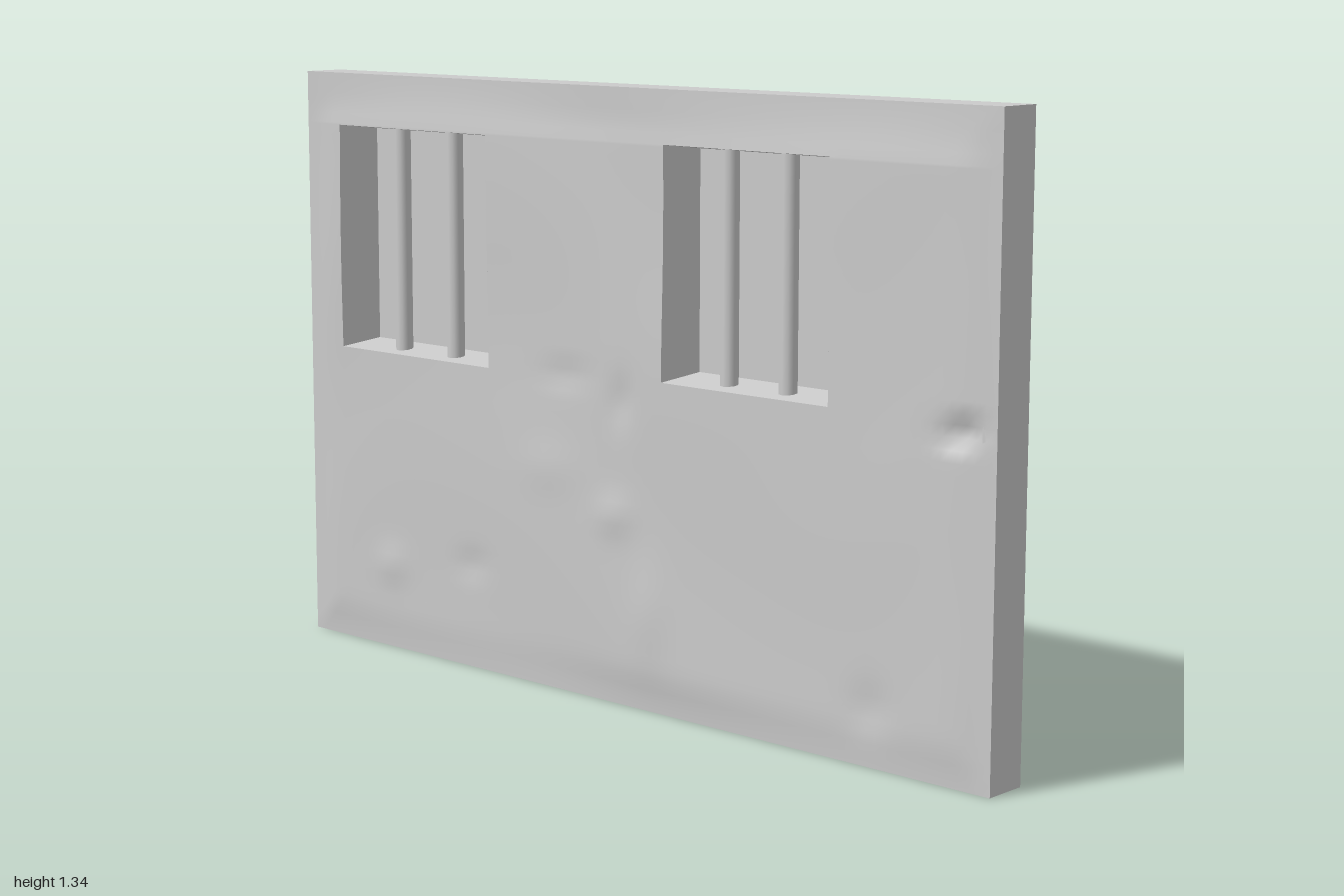
import * as THREE from 'three';

const W = 2, H = 1.34, BACK = -0.06, LIP = 0.035;
const windows = [
  { name: 'rightWindow', x0: -0.88, x1: -0.39, y0: 0.70, y1: 1.22, bars: [-0.72, -0.545] },
  { name: 'leftWindow', x0: 0.14, x1: 0.59, y0: 0.725, y1: 1.225, bars: [0.285, 0.445] },
];
// local dents and bulges: x, y, radius x, radius y, depth
const dents = [
  [0.93, 0.71, 0.05, 0.02, -0.03], [0.02, 0.67, 0.03, 0.05, -0.008], [-0.15, 0.71, 0.07, 0.025, -0.006],
  [0, 0.42, 0.05, 0.04, 0.008], [-0.72, 0.2, 0.05, 0.04, 0.007], [0.1, 0.22, 0.05, 0.1, 0.006],
  [0.7, 0.12, 0.05, 0.05, -0.007], [-0.45, 0.24, 0.05, 0.03, -0.006], [-0.2, 0.5, 0.08, 0.05, 0.004],
];

// uneven front surface of the wall
function wallZ(x, y) {
  const edge = Math.min(1 - Math.abs(x), y, H - y);
  const fade = THREE.MathUtils.smoothstep(edge, 0, 0.1);
  let z = 0.008 - 0.005 * THREE.MathUtils.smoothstep(y, 1.22, 1.27);
  z += 0.0018 * Math.sin(5 * x + 2 * Math.sin(4 * y)) + 0.0015 * Math.sin(9 * y + 3 * Math.sin(3 * x));
  for (const [dx, dy, rx, ry, d] of dents) z += d * Math.exp(-(((x - dx) / rx) ** 2) - ((y - dy) / ry) ** 2);
  return 0.042 + z * fade;
}

// grid lines that include every given stop
function gridLines(stops, step) {
  const out = [stops[0]];
  for (let i = 1; i < stops.length; i++) {
    const a = stops[i - 1], b = stops[i], n = Math.max(1, Math.round((b - a) / step));
    for (let k = 1; k <= n; k++) out.push(a + ((b - a) * k) / n);
  }
  return out;
}

function surface(positions, index) {
  const g = new THREE.BufferGeometry();
  g.setAttribute('position', new THREE.Float32BufferAttribute(positions, 3));
  g.setIndex(index);
  g.computeVertexNormals();
  return g;
}

// uneven sheet with the window openings left out
function wallSheet() {
  const xs = gridLines([-1, ...windows.flatMap((w) => [w.x0, w.x1]), 1], 0.025);
  const ys = gridLines([0, ...windows.flatMap((w) => [w.y0, w.y1]).sort((a, b) => a - b), H], 0.025);
  const pos = [], idx = [], n = xs.length;
  for (const y of ys) for (const x of xs) pos.push(x, y, wallZ(x, y));
  for (let j = 0; j < ys.length - 1; j++) {
    for (let i = 0; i < n - 1; i++) {
      const cx = (xs[i] + xs[i + 1]) / 2, cy = (ys[j] + ys[j + 1]) / 2;
      if (windows.some((w) => cx > w.x0 && cx < w.x1 && cy > w.y0 && cy < w.y1)) continue;
      const a = j * n + i;
      idx.push(a, a + 1, a + n + 1, a, a + n + 1, a + n);
    }
  }
  return surface(pos, idx);
}

// shallow box behind an opening, narrowing slightly to its back
function recess(w) {
  const steps = 16, inset = 0.012, backZ = -0.055;
  const ring = [];
  const corners = [[0, 0], [1, 0], [1, 1], [0, 1]];
  corners.forEach(([u, v], c) => {
    const [u2, v2] = corners[(c + 1) % 4];
    for (let k = 0; k < steps; k++) ring.push([u + ((u2 - u) * k) / steps, v + ((v2 - v) * k) / steps]);
  });
  const pos = [], idx = [], n = ring.length;
  const at = (a, b, t) => a + (b - a) * t;
  for (const [u, v] of ring) {
    const x = at(w.x0, w.x1, u), y = at(w.y0, w.y1, v);
    pos.push(x, y, wallZ(x, y));
  }
  for (const [u, v] of ring) pos.push(at(w.x0 + inset, w.x1 - inset, u), at(w.y0 + inset, w.y1 - inset, v), backZ);
  for (let i = 0; i < n; i++) {
    const j = (i + 1) % n;
    idx.push(i, j, n + j, i, n + j, n + i);
  }
  const [a, b, c, d] = [0, 1, 2, 3].map((k) => n + k * steps);
  idx.push(a, b, c, a, c, d);
  const g = surface(pos, idx).toNonIndexed();
  g.computeVertexNormals();
  return g;
}

// hollow border that gives the wall its thickness
function rim() {
  const rect = (target, m) => {
    target.moveTo(-W / 2 + m, m);
    target.lineTo(W / 2 - m, m);
    target.lineTo(W / 2 - m, H - m);
    target.lineTo(-W / 2 + m, H - m);
    target.closePath();
    return target;
  };
  const shape = rect(new THREE.Shape(), 0);
  shape.holes.push(rect(new THREE.Path(), LIP));
  return new THREE.ExtrudeGeometry(shape, { depth: 0.041 - BACK, bevelEnabled: false }).translate(0, 0, BACK);
}

export function createModel() {
  const group = new THREE.Group();
  const solid = new THREE.MeshStandardMaterial({ color: 0xcccccc });
  const thin = new THREE.MeshStandardMaterial({ color: 0xcccccc, side: THREE.DoubleSide });
  const add = (parent, name, geometry, material) => {
    const mesh = new THREE.Mesh(geometry, material);
    mesh.name = name;
    parent.add(mesh);
    return mesh;
  };

  add(group, 'wallPanel', wallSheet(), thin);
  add(group, 'wallRim', rim(), solid);

  for (const w of windows) {
    const win = new THREE.Group();
    win.name = w.name;
    add(win, 'windowRecess', recess(w), thin);
    // upright bars, their ends just showing through the recess
    for (const x of w.bars) {
      const bar = add(win, 'windowBar', new THREE.CylinderGeometry(0.02, 0.02, w.y1 - w.y0 - 0.006, 10), solid);
      bar.position.set(x, (w.y0 + w.y1) / 2, 0);
    }
    group.add(win);
  }
  return group;
}
